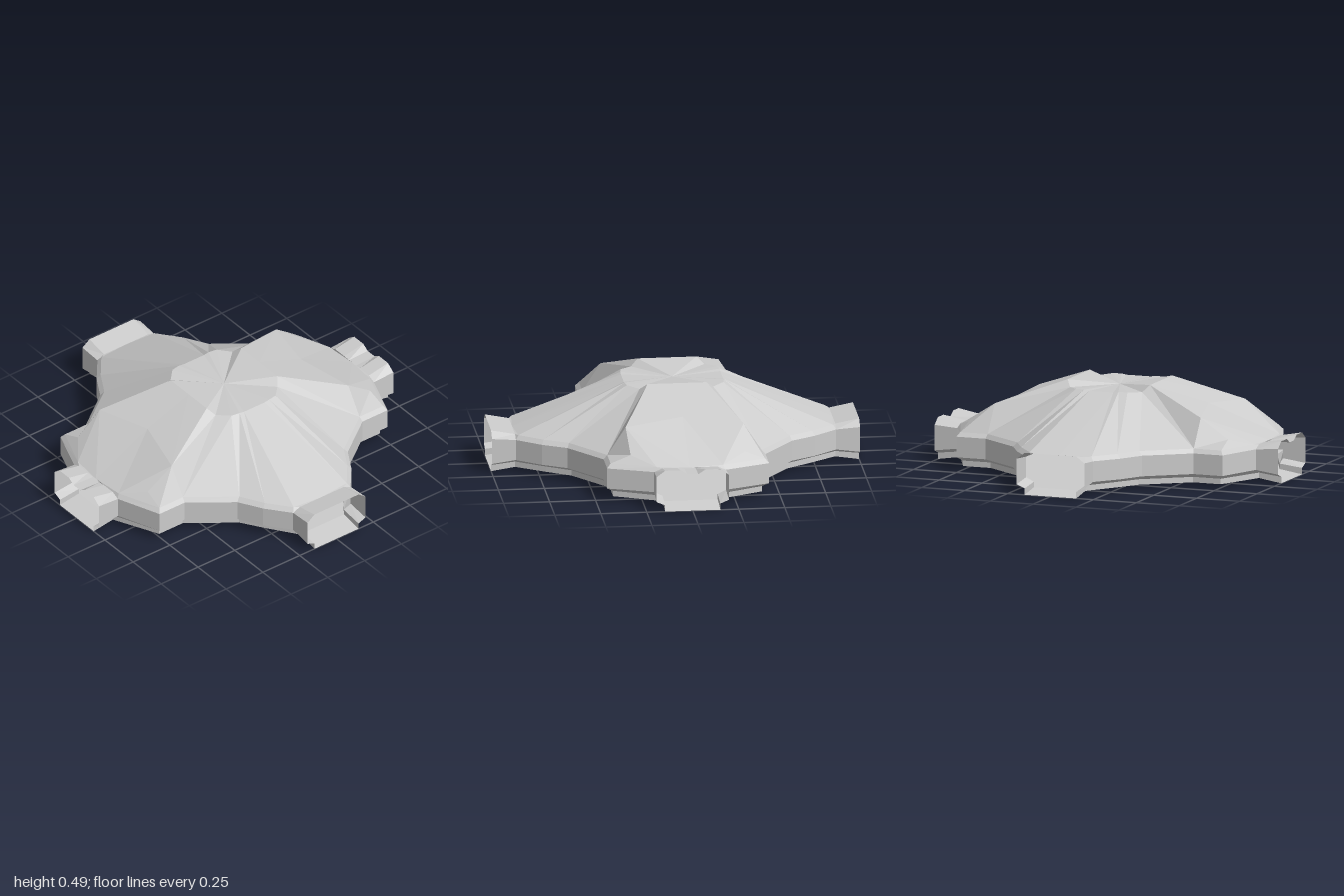
import * as THREE from 'three';

const material = new THREE.MeshStandardMaterial({ color: 0xcccccc, flatShading: true, side: THREE.DoubleSide });

// Turn polygons (fans of [x,y,z] corners) of one quarter into a mesh mirrored over x and z
function quarterMesh(name, polygons) {
  const pos = [];
  for (const sx of [1, -1]) for (const sz of [1, -1]) {
    for (const poly of polygons) {
      const p = poly.map(([x, y, z]) => [x * sx, y, z * sz]);
      if (sx * sz < 0) p.reverse();
      for (let i = 1; i < p.length - 1; i++) pos.push(...p[0], ...p[i], ...p[i + 1]);
    }
  }
  const g = new THREE.BufferGeometry();
  g.setAttribute('position', new THREE.Float32BufferAttribute(pos, 3));
  g.computeVertexNormals();
  const mesh = new THREE.Mesh(g, material);
  mesh.name = name;
  return mesh;
}

// Quads between successive rows of points, lower row first
function strip(...rows) {
  const out = [];
  for (let r = 0; r < rows.length - 1; r++) {
    const a = rows[r], b = rows[r + 1];
    for (let i = 0; i < a.length - 1; i++) out.push([a[i], a[i + 1], b[i + 1], b[i]]);
  }
  return out;
}

const level = (plan, y) => plan.map(([x, z]) => [x, y, z]);

export function createModel() {
  const group = new THREE.Group();
  group.name = 'domedHub';

  // Plan outlines of one quarter, from the front opening round to the side opening
  const wall = [[0.195, 0.87], [0.3, 0.74], [0.375, 0.61], [0.605, 0.44], [0.775, 0.44], [0.87, 0.195]];
  const skirt = [[0.15, 0.87], [0.26, 0.715], [0.345, 0.585], [0.59, 0.405], [0.75, 0.405], [0.87, 0.15]];
  const eave = [[0.18, 0.855], [0.28, 0.73], [0.355, 0.6], [0.6, 0.42], [0.76, 0.42], [0.855, 0.18]];

  // Skirt, overhang, wall and eave bevel
  group.add(quarterMesh('outerWall', strip(
    level(skirt, 0.02), level(skirt, 0.05), level(wall, 0.072), level(wall, 0.185), level(eave, 0.208))));

  // Floor
  const rim = level([[0, 0.87], ...skirt, [0.87, 0]], 0.02);
  group.add(quarterMesh('floor', rim.slice(1).map((p, i) => [[0, 0.02, 0], p, rim[i]])));

  // Front and back roof, fanning from the crown to the eaves
  const e = level(eave, 0.208);
  const crown = [[0, 0.455, 0.27], [0.07, 0.455, 0.27], [0.1, 0.46, 0.27], [0.15, 0.46, 0.262], [0.21, 0.455, 0.2]];
  const lower = [[0, 0.205, 0.87], ...e.slice(0, 4)];
  group.add(quarterMesh('slopingRoof', [
    ...strip(lower, crown),
    [[0.15, 0.205, 0.87], [0.195, 0.185, 0.87], e[0]],
    [[0, 0.205, 0.87], [0.15, 0.205, 0.87], e[0]],
  ]));

  // Raised side wings with steep cheeks
  const peak = [0.24, 0.49, 0.16], peakMid = [0.24, 0.49, 0];
  const knee = [0.6, 0.36, 0.32], kneeMid = [0.52, 0.385, 0];
  const toe = [0.755, 0.25, 0.31], sideMid = [0.87, 0.205, 0];
  group.add(quarterMesh('sideWing', [
    [e[3], knee, peak, crown[4]],
    [e[3], e[4], toe, knee],
    [e[4], e[5], toe],
    [peak, knee, kneeMid, peakMid],
    [knee, toe, e[5]],
    [knee, e[5], sideMid, kneeMid],
    [e[5], [0.87, 0.185, 0.195], [0.87, 0.205, 0.15], sideMid],
  ]));

  // Dished crown plate
  const top = [...crown, peak, peakMid];
  group.add(quarterMesh('crown', top.slice(1).map((p, i) => [[0, 0.455, 0], top[i], p])));

  // Flared entrance tunnels: half sections [across, height] at the wall and at the mouth
  const inner = [[0, 0.02], [0.15, 0.02], [0.15, 0.05], [0.195, 0.072], [0.195, 0.185], [0.15, 0.205]];
  const mouth = [[0, 0], [0.15, 0], [0.15, 0.035], [0.197, 0.055], [0.197, 0.195], [0.15, 0.23]];
  const along = (section, d) => section.map(([w, y]) => [w, y, d]);
  const across = (section, d) => section.map(([w, y]) => [d, y, w]);
  group.add(quarterMesh('frontBackTunnel', strip(
    along([...mouth, [0, 0.23]], 1), along([...inner, [0, 0.205]], 0.87))));
  // Side tunnels have a groove along the roof
  group.add(quarterMesh('sideTunnel', strip(
    across([...inner, [0.07, 0.205], [0.03, 0.2], [0, 0.2]], 0.87),
    across([...mouth, [0.07, 0.23], [0.03, 0.205], [0, 0.205]], 1))));

  return group;
}
